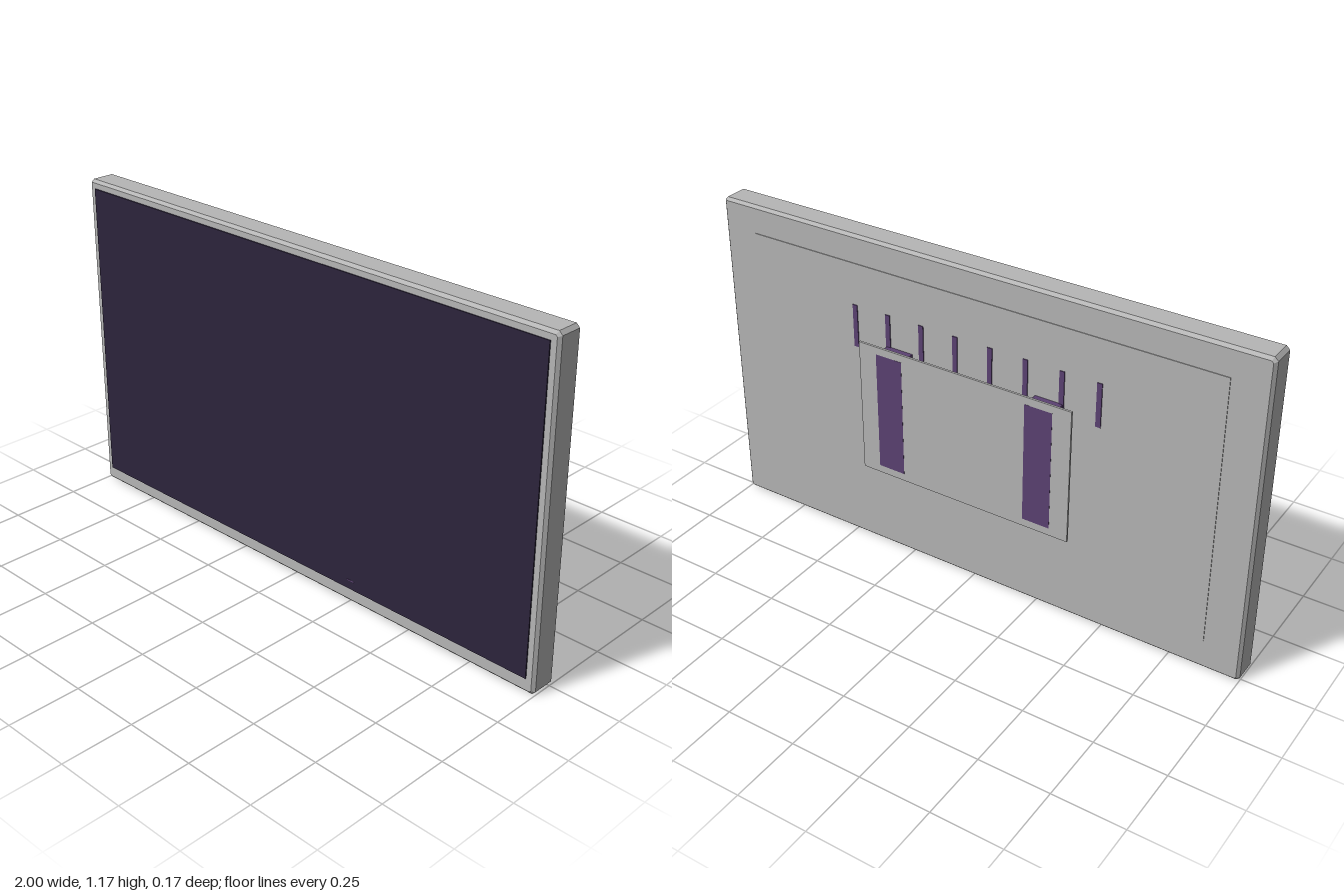
import * as THREE from 'three';

const material = (name, color) => {
  const m = new THREE.MeshStandardMaterial({ color });
  m.name = name;
  return m;
};

export function createModel() {
  const group = new THREE.Group();
  const casingGrey = material('casingGrey', 0xb6b6b6);
  const screenDark = material('screenDark', 0x2d243c);
  const purple = material('bracketPurple', 0x5b4172);

  // Box given by its lower and upper bounds on each axis
  const box = (name, mat, [x0, x1], [y0, y1], [z0, z1]) => {
    const mesh = new THREE.Mesh(new THREE.BoxGeometry(x1 - x0, y1 - y0, z1 - z0), mat);
    mesh.position.set((x0 + x1) / 2, (y0 + y1) / 2, (z0 + z1) / 2);
    mesh.name = name;
    group.add(mesh);
  };

  // Casing: rectangle with cut corners and a single flat bevel all round
  const bevel = 0.01, back = -0.018, front = 0.08, height = 1.17;
  const w = 1 - bevel, y0 = bevel, y1 = height - bevel, c = 0.006;
  const outline = new THREE.Shape([
    [-w + c, y0], [w - c, y0], [w, y0 + c], [w, y1 - c],
    [w - c, y1], [-w + c, y1], [-w, y1 - c], [-w, y0 + c],
  ].map(([x, y]) => new THREE.Vector2(x, y)));
  const casingGeometry = new THREE.ExtrudeGeometry(outline, {
    depth: front - back - 2 * bevel,
    bevelEnabled: true, bevelSegments: 1, bevelSize: bevel, bevelThickness: bevel,
  });
  casingGeometry.translate(0, 0, back + bevel);
  const casing = new THREE.Mesh(casingGeometry, casingGrey);
  casing.name = 'casing';
  group.add(casing);

  // Screen and its small indicator
  box('screen', screenDark, [-0.97, 0.97], [0.052, 1.14], [0.078, 0.0842]);
  box('indicator', purple, [0.245, 0.275], [0.082, 0.086], [0.083, 0.0847]);

  // Raised back panel with a row of vents
  box('backPanel', casingGrey, [-0.87, 0.87], [0.11, 1.07], [-0.0205, -0.015]);
  for (let i = 0; i < 8; i++) {
    const x = (i - 3.5) * 0.131;
    box('vent', purple, [x - 0.009, x + 0.009], [0.765, 0.92], [-0.0235, -0.018]);
  }

  // Wall mount: two rails whose faces show on the mounting plate
  box('mountPlate', casingGrey, [-0.4, 0.4], [0.345, 0.83], [-0.0842, -0.0765]);
  for (const s of [-1, 1]) {
    box('mountRail', purple, [s * 0.283 - 0.05, s * 0.283 + 0.05], [0.372, 0.803], [-0.0847, -0.018]);
  }

  return group;
}
